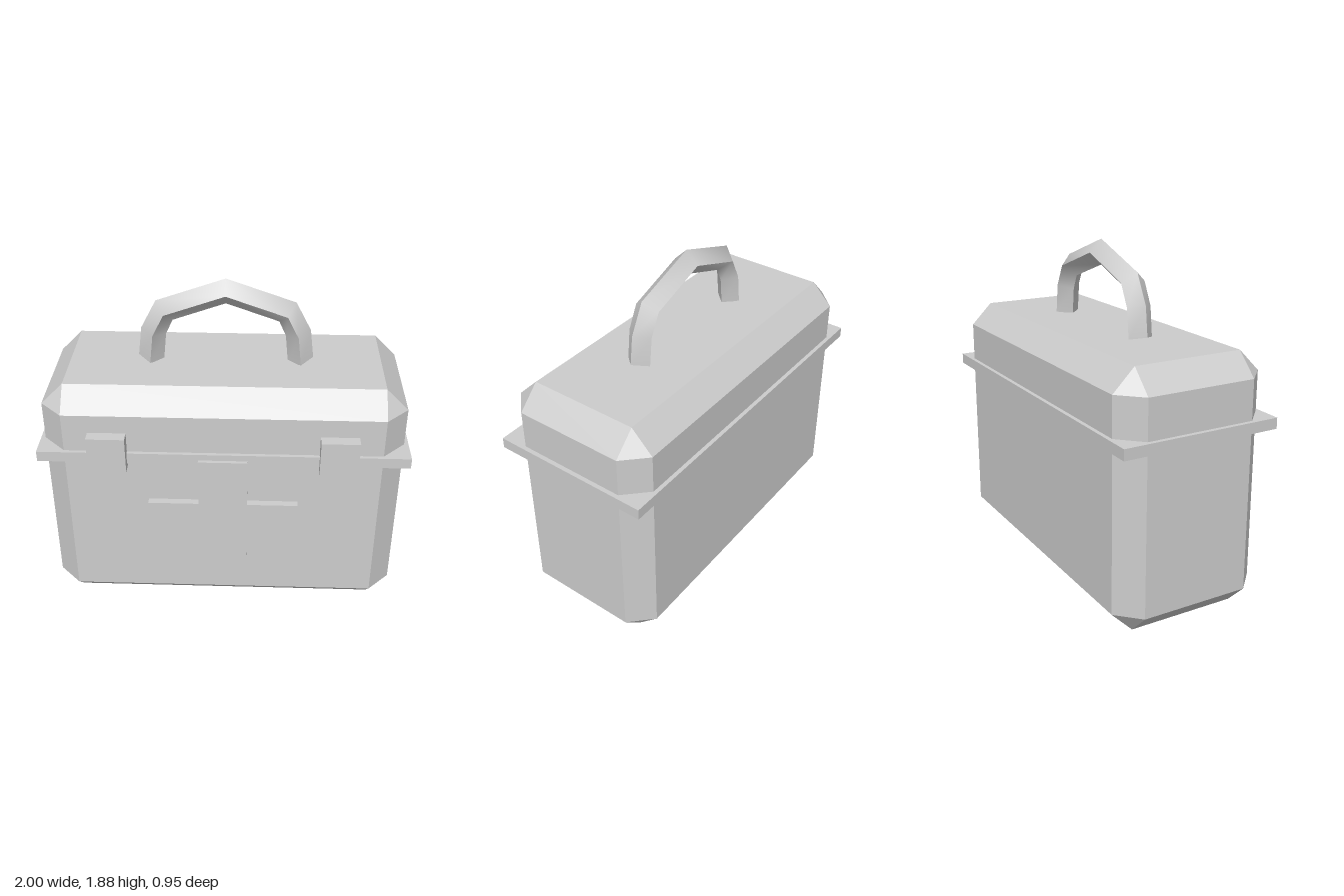
import * as THREE from 'three';
import { toCreasedNormals } from 'three/addons/utils/BufferGeometryUtils.js';
import { ConvexGeometry } from 'three/addons/geometries/ConvexGeometry.js';

const MID_Z = -0.021; // depth centre of case, rim and handle

// Box with every edge and corner cut off by c
function chamferedBox(w, h, d, c) {
  const points = [];
  for (const sx of [-1, 1]) for (const sy of [-1, 1]) for (const sz of [-1, 1]) {
    const x = w / 2, y = h / 2, z = d / 2;
    points.push(
      new THREE.Vector3(sx * x, sy * (y - c), sz * (z - c)),
      new THREE.Vector3(sx * (x - c), sy * y, sz * (z - c)),
      new THREE.Vector3(sx * (x - c), sy * (y - c), sz * z));
  }
  return new ConvexGeometry(points);
}

// Arched bar with a diamond section, from outer and inner ridge points of one half
function archedHandle(outer, inner, halfDepth) {
  const half = outer.map((o, i) => [o, inner[i]]);
  const flip = ([x, y]) => [-x, y];
  const path = [...half, ...half.slice(0, -1).reverse().map(([o, n]) => [flip(o), flip(n)])];
  const pos = [], index = [];
  path.forEach(([o, n], i) => {
    const mx = (o[0] + n[0]) / 2, my = (o[1] + n[1]) / 2;
    pos.push(o[0], o[1], 0, mx, my, halfDepth, n[0], n[1], 0, mx, my, -halfDepth);
    if (i === path.length - 1) return;
    for (let j = 0; j < 4; j++) {
      const a = i * 4 + j, b = i * 4 + (j + 1) % 4;
      index.push(a, a + 4, b, b, a + 4, b + 4);
    }
  });
  const e = (path.length - 1) * 4;
  index.push(0, 1, 2, 0, 2, 3, e, e + 2, e + 1, e, e + 3, e + 2);
  const geo = new THREE.BufferGeometry();
  geo.setAttribute('position', new THREE.Float32BufferAttribute(pos, 3));
  geo.setIndex(index);
  return toCreasedNormals(geo, 0.9);
}

export function createModel() {
  const model = new THREE.Group();
  model.name = 'medicalCase';
  const grey = new THREE.MeshStandardMaterial({ color: 0xcccccc });
  grey.name = 'light grey';

  const add = (name, geometry, x, y, z) => {
    const mesh = new THREE.Mesh(geometry, grey);
    mesh.name = name;
    mesh.position.set(x, y, z);
    model.add(mesh);
  };

  // Case and the rim where the lid meets it
  add('caseBody', chamferedBox(1.952, 1.405, 0.862, 0.122), 0, 0.7025, MID_Z);
  add('lidRim', new THREE.BoxGeometry(2, 0.06, 0.905), 0, 1.035, MID_Z - 0.001);

  // Latches on the front
  for (const [name, side] of [['leftLatch', 1], ['rightLatch', -1]]) {
    add(name, new THREE.BoxGeometry(0.205, 0.205, 0.105), side * 0.617, 1.077, 0.4225);
  }

  // Raised cross on the front
  const r = 0.41, a = 0.133;
  const cross = new THREE.Shape([
    [-a, -r], [a, -r], [a, -a], [r, -a], [r, a], [a, a],
    [a, r], [-a, r], [-a, a], [-r, a], [-r, -a], [-a, -a],
  ].map(([x, y]) => new THREE.Vector2(x, y)));
  add('frontCross', new THREE.ExtrudeGeometry(cross, { depth: 0.08, bevelEnabled: false }), 0, 0.62, 0.37);

  // Carrying handle
  const outer = [[0.48, 1.425], [0.46, 1.588], [0.376, 1.749], [0, 1.88]];
  const inner = [[0.342, 1.392], [0.326, 1.552], [0.288, 1.636], [0, 1.738]];
  add('handle', archedHandle(outer, inner, 0.072), 0, 0, MID_Z);

  return model;
}
